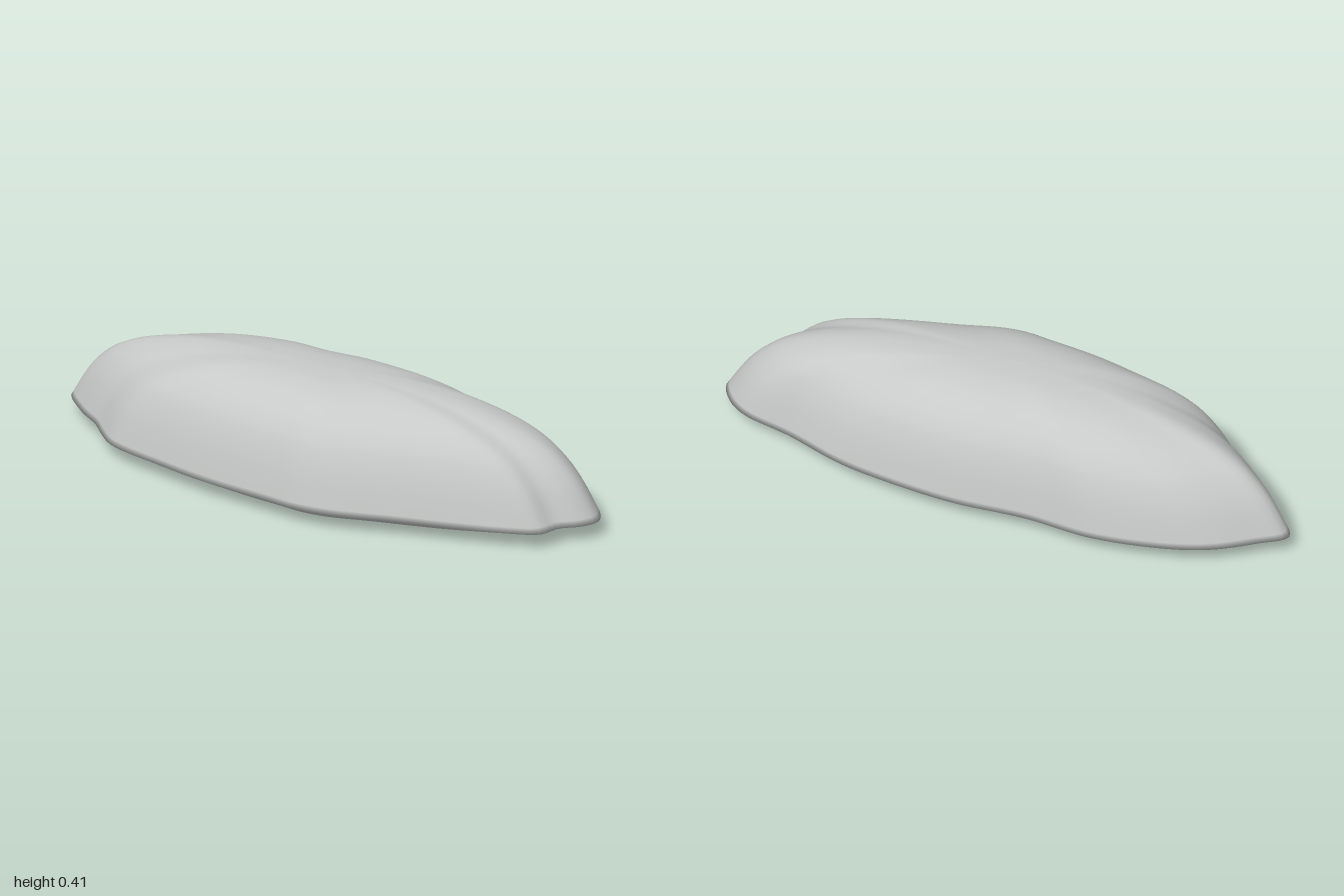
import * as THREE from 'three';

const stone = new THREE.MeshStandardMaterial({ color: 0xc6c9c7 });
stone.name = 'pale grey';

// wavy plan outline [x, z], from the right tip round the back and the front
const outline = [
  [-1, -0.075], [-0.92, -0.15], [-0.8, -0.24], [-0.67, -0.295], [-0.42, -0.345], [-0.18, -0.338],
  [0.08, -0.358], [0.35, -0.34], [0.5, -0.315], [0.7, -0.25], [0.885, -0.205], [0.96, -0.15],
  [1, -0.075], [0.975, -0.015], [0.92, 0.04], [0.895, 0.11], [0.8, 0.16], [0.62, 0.22],
  [0.43, 0.275], [0.23, 0.338], [0.11, 0.353], [-0.02, 0.343], [-0.26, 0.32], [-0.45, 0.283],
  [-0.67, 0.225], [-0.75, 0.16], [-0.8, 0.11], [-0.9, 0.04],
];

// dome profile [outline scale, height] from the rim up
const profile = [
  [1, 0.055], [0.935, 0.163], [0.87, 0.235], [0.8, 0.285], [0.7, 0.328],
  [0.56, 0.366], [0.42, 0.388], [0.28, 0.4], [0.14, 0.405], [0.002, 0.407],
];

// surface through scaled copies of the outline
function loft(points, rings) {
  const n = points.length, pos = [], index = [];
  for (const [s, y] of rings) for (const p of points) pos.push(p.x * s, y, p.z * s);
  for (let j = 0; j < rings.length - 1; j++) {
    for (let i = 0; i < n; i++) {
      const a = j * n + i, b = j * n + (i + 1) % n;
      index.push(a, a + n, b, b, a + n, b + n);
    }
  }
  const g = new THREE.BufferGeometry();
  g.setAttribute('position', new THREE.Float32BufferAttribute(pos, 3));
  g.setIndex(index);
  g.computeVertexNormals();
  return g;
}

export function createModel() {
  const group = new THREE.Group();
  group.name = 'moundedRock';
  const curve = new THREE.CatmullRomCurve3(outline.map(([x, z]) => new THREE.Vector3(x, 0, z)), true);
  const points = curve.getSpacedPoints(200).slice(0, -1);

  // sloping underside, rim and dome in one smooth skin
  const dome = new THREE.SplineCurve(profile.map(([s, y]) => new THREE.Vector2(s, y)));
  const rings = [[0.72, 0], ...dome.getPoints(36).map((p) => [p.x, p.y])];
  const body = new THREE.Mesh(loft(points, rings), stone);
  body.name = 'body';
  group.add(body);

  // flat base
  const base = new THREE.Mesh(loft(points, [[0.001, 0], [0.72, 0]]), stone);
  base.name = 'base';
  group.add(base);
  return group;
}
